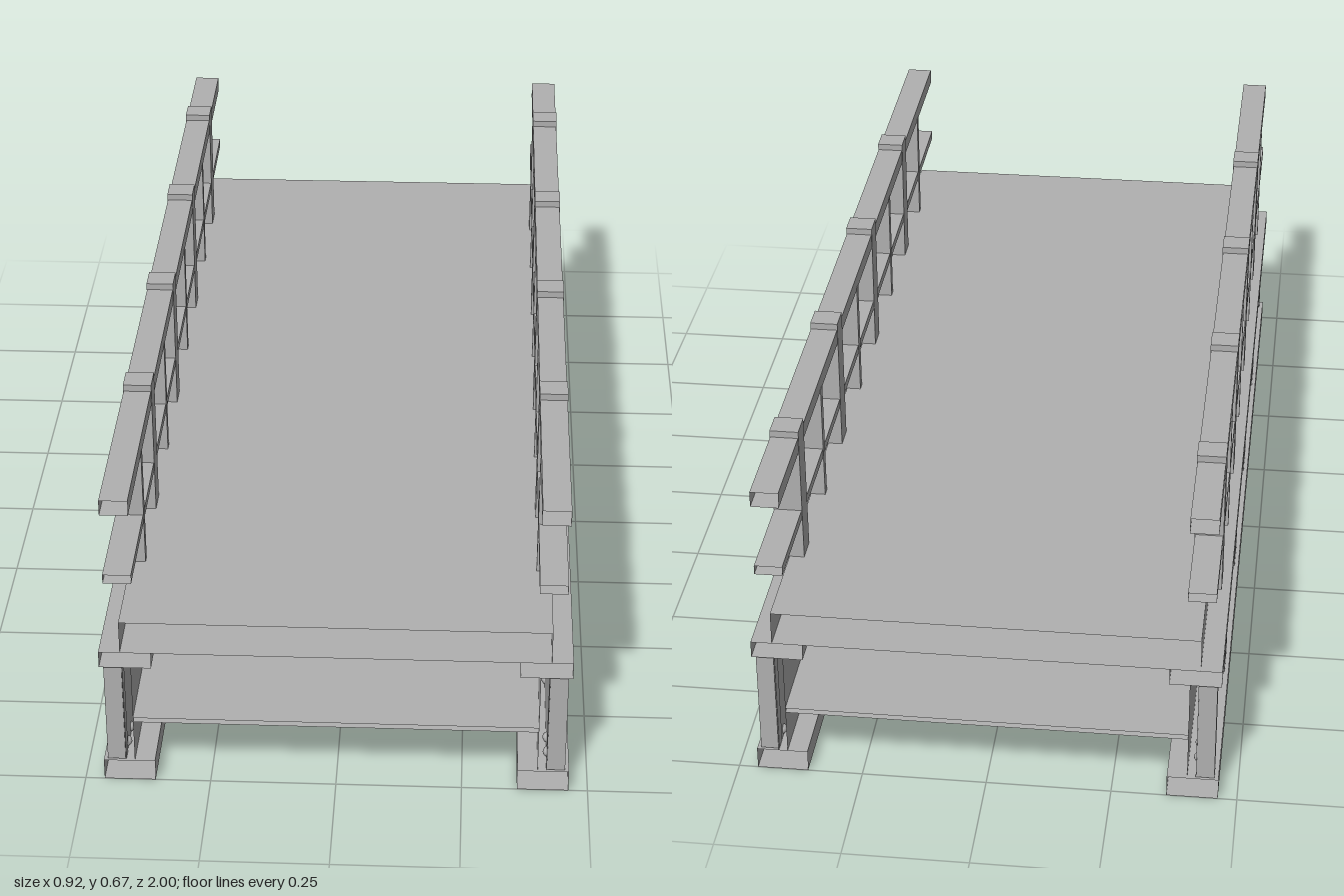
import * as THREE from 'three';

export function createModel() {
  const model = new THREE.Group();
  const steel = new THREE.MeshStandardMaterial({ color: 0xb0b0b0, side: THREE.DoubleSide });
  steel.name = 'steelGrey';

  // Solid box given by its limits on each axis
  function block(parent, name, x0, x1, y0, y1, z0, z1) {
    const mesh = new THREE.Mesh(new THREE.BoxGeometry(x1 - x0, y1 - y0, z1 - z0), steel);
    mesh.position.set((x0 + x1) / 2, (y0 + y1) / 2, (z0 + z1) / 2);
    mesh.name = name;
    parent.add(mesh);
    return mesh;
  }

  // Full-length hollow section, open at both ends
  function openSection(parent, name, x0, x1, y0, y1) {
    const mesh = block(parent, name, x0, x1, y0, y1, -1, 1);
    const geo = mesh.geometry;
    geo.setIndex(Array.from(geo.index.array).slice(0, 24)); // drop the two z faces
    geo.clearGroups();
  }

  // Roadway and the lower floor between the girders
  openSection(model, 'deck', -0.42, 0.42, 0.305, 0.375);
  openSection(model, 'lowerFloor', -0.4, 0.4, 0.14, 0.15);

  const rivetGeo = new THREE.SphereGeometry(0.011, 10, 8);

  for (const side of [1, -1]) {
    const label = side > 0 ? 'left' : 'right';
    const span = (a, b) => (side > 0 ? [a, b] : [-b, -a]);

    // I-girder
    const girder = new THREE.Group();
    girder.name = label + 'Girder';
    model.add(girder);
    openSection(girder, 'bottomFlange', ...span(0.36, 0.462), 0, 0.045);
    openSection(girder, 'web', ...span(0.4, 0.418), 0.045, 0.27);
    openSection(girder, 'topFlange', ...span(0.36, 0.462), 0.27, 0.305);

    // Upright stiffeners: one at each end, pairs at the panel joints
    const stiffeners = [-0.982, 0.982];
    for (const joint of [-0.6, -0.2, 0.2, 0.6]) stiffeners.push(joint - 0.022, joint + 0.022);
    for (const z of stiffeners) {
      block(girder, 'stiffener', ...span(0.417, 0.454), 0.047, 0.268, z - 0.014, z + 0.014);
    }

    // Rivets in pairs at both ends of each panel
    for (let panel = -2; panel <= 2; panel++) {
      for (const offset of [-0.148, -0.1, 0.1, 0.148]) {
        for (const y of [0.058, 0.253]) {
          const rivet = new THREE.Mesh(rivetGeo, steel);
          rivet.name = 'rivet';
          rivet.position.set(side * 0.421, y, panel * 0.4 + offset + 0.003);
          girder.add(rivet);
        }
      }
    }

    // Railing with alternating wide and narrow posts
    const railing = new THREE.Group();
    railing.name = label + 'Railing';
    model.add(railing);
    openSection(railing, 'topRail', ...span(0.391, 0.446), 0.62, 0.652);
    openSection(railing, 'midRail', ...span(0.391, 0.446), 0.466, 0.485);
    for (let i = 0; i < 4; i++) {
      const wide = 0.555 - i * 0.441;
      const narrow = 0.772 - i * 0.44;
      block(railing, 'widePost', ...span(0.39, 0.447), 0.358, 0.666, wide - 0.027, wide + 0.027);
      block(railing, 'narrowPost', ...span(0.39, 0.447), 0.358, 0.625, narrow - 0.01, narrow + 0.01);
    }
  }
  return model;
}
